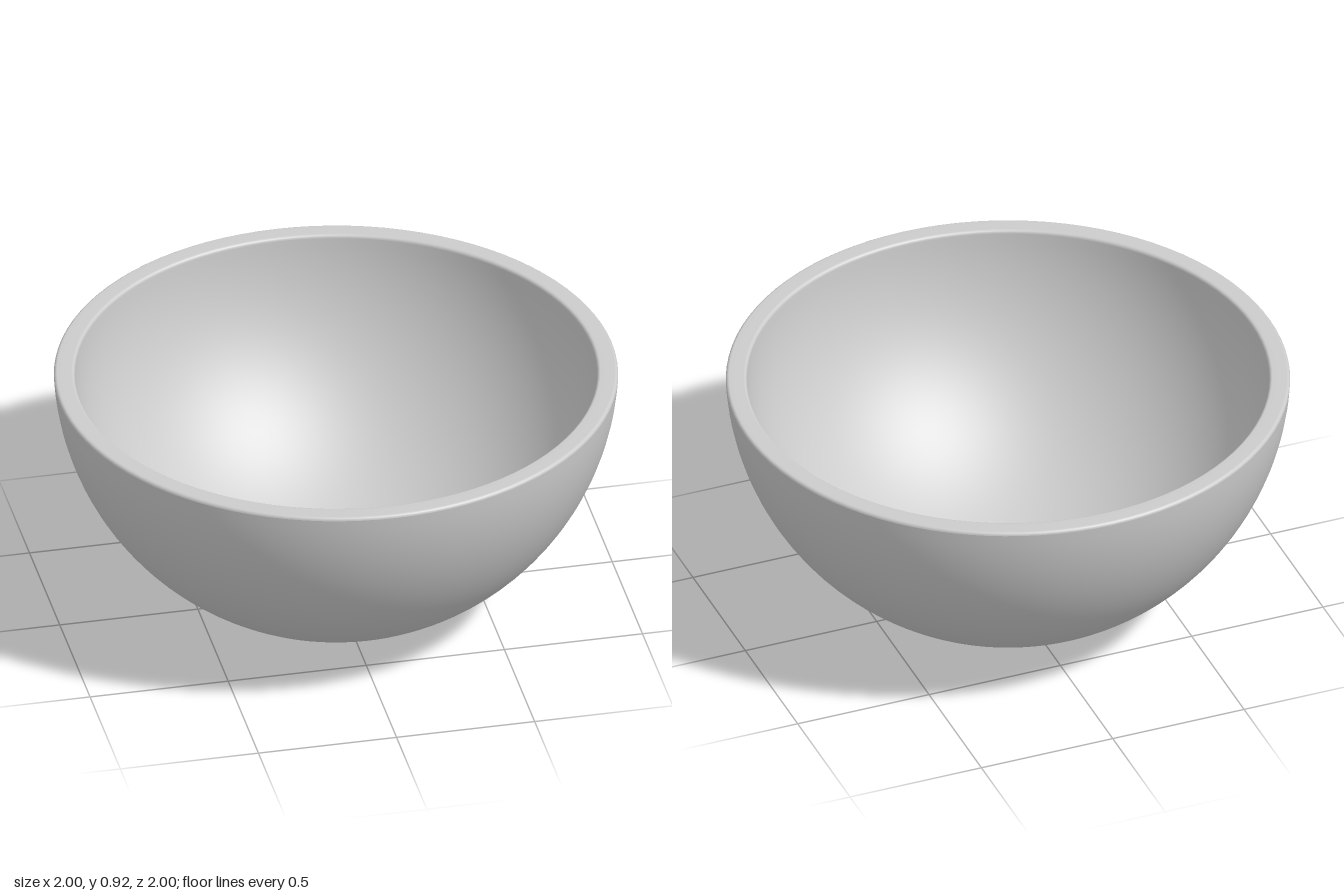
import * as THREE from 'three';

const CENTRE_Y = 0.968; // shared centre of the inner and outer spheres
const FOOT_R = 0.25, RIM_Y = 0.92, BEVEL = 0.012;
const OUTER_R = 1, INNER_R = 0.926;

// Profile points along a sphere between two heights
function spherePoints(radius, y0, y1, steps) {
  const a0 = Math.asin((y0 - CENTRE_Y) / radius);
  const a1 = Math.asin((y1 - CENTRE_Y) / radius);
  const points = [];
  for (let i = 0; i <= steps; i++) {
    const a = a0 + (a1 - a0) * i / steps;
    points.push(new THREE.Vector2(radius * Math.cos(a), CENTRE_Y + radius * Math.sin(a)));
  }
  return points;
}

// Quarter-round edge of the rim
function roundEdge(cx, cy, from, to) {
  return Array.from({ length: 5 }, (_, i) => {
    const a = from + (to - from) * i / 4;
    return new THREE.Vector2(cx + BEVEL * Math.cos(a), cy + BEVEL * Math.sin(a));
  });
}

export function createModel() {
  const bowl = new THREE.Group();
  bowl.name = 'bowl';
  const material = new THREE.MeshStandardMaterial({ color: 0xcccccc });

  const addLathe = (name, points) => {
    const mesh = new THREE.Mesh(new THREE.LatheGeometry(points, 96), material);
    mesh.name = name;
    bowl.add(mesh);
  };
  const v = (x, y) => new THREE.Vector2(x, y);

  // Shallow recess under the foot
  addLathe('footRecess', [v(0, 0.015), v(0.205, 0.015), v(0.235, 0), v(FOOT_R, 0)]);

  // Outer wall, rising from the foot to the rim
  const edgeY = RIM_Y - BEVEL;
  const outer = spherePoints(OUTER_R, 0, edgeY, 32);
  addLathe('outerWall', outer);

  // Flat rim with softened edges
  const outerX = outer[outer.length - 1].x;
  const floorY = CENTRE_Y - Math.sqrt(INNER_R ** 2 - FOOT_R ** 2);
  const inner = spherePoints(INNER_R, edgeY, floorY, 32);
  addLathe('rim', [
    ...roundEdge(outerX - BEVEL, edgeY, 0, Math.PI / 2),
    ...roundEdge(inner[0].x + BEVEL, edgeY, Math.PI / 2, Math.PI),
  ]);

  // Inner wall and flat floor
  addLathe('innerWall', inner);
  addLathe('floor', [v(FOOT_R, floorY), v(0, floorY)]);

  return bowl;
}
